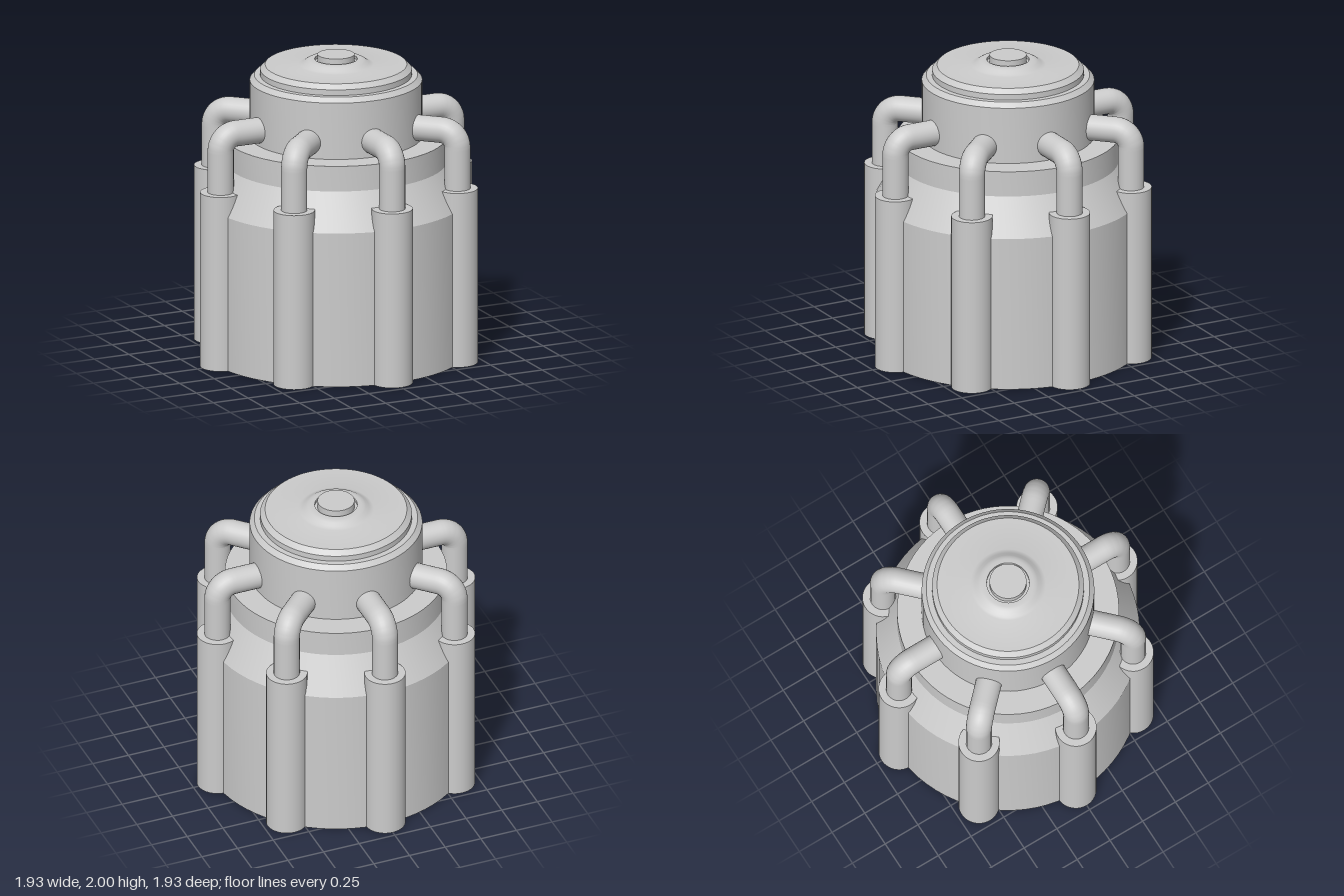
import * as THREE from 'three';
import { toCreasedNormals } from 'three/addons/utils/BufferGeometryUtils.js';

const material = new THREE.MeshStandardMaterial({ color: 0xcccccc });

function addMesh(parent, name, geometry) {
  const mesh = new THREE.Mesh(geometry, material);
  mesh.name = name;
  parent.add(mesh);
  return mesh;
}

// Turned solid with crisp edges between its straight sections
function turned(profile) {
  const points = profile.map(([r, y]) => new THREE.Vector2(r, y));
  return toCreasedNormals(new THREE.LatheGeometry(points, 72), 0.42);
}

export function createModel() {
  const model = new THREE.Group();
  model.name = 'pipedVessel';

  // Wide drum with tapered shoulder
  addMesh(model, 'body', turned([
    [0, 0], [0.855, 0], [0.855, 1.035], [0.72, 1.28], [0.72, 1.45], [0, 1.45],
  ]));

  // Narrow head with bevelled rim
  addMesh(model, 'head', turned([
    [0.56, 1.45], [0.56, 1.83], [0.53, 1.862], [0, 1.862],
  ]));

  // Stepped lid with a soft raised boss and a groove around the button
  addMesh(model, 'lid', turned([
    [0.492, 1.862], [0.492, 1.9], [0.46, 1.932], [0.245, 1.932], [0.23, 1.936],
    [0.215, 1.944], [0.195, 1.958], [0.182, 1.965], [0.165, 1.969],
    [0.138, 1.969], [0.138, 1.95], [0, 1.95],
  ]));
  addMesh(model, 'button', turned([[0.12, 1.95], [0.12, 2], [0, 2]]));

  // Elbow pipe centreline from column up and into the head
  const columnRadius = 0.832, pipeY = 1.556, bend = 0.105;
  const elbow = new THREE.CurvePath();
  const p = (x, y) => new THREE.Vector3(x, y, 0);
  const bendPoints = [];
  for (let i = 0; i <= 12; i++) {
    const a = (i / 12) * Math.PI / 2;
    bendPoints.push(p(columnRadius - bend + bend * Math.cos(a), pipeY - bend + bend * Math.sin(a)));
  }
  elbow.add(new THREE.LineCurve3(p(columnRadius, 1.1), bendPoints[0]));
  for (let i = 0; i < 12; i++) elbow.add(new THREE.LineCurve3(bendPoints[i], bendPoints[i + 1]));
  elbow.add(new THREE.LineCurve3(bendPoints[12], p(0.48, pipeY)));
  const pipeGeometry = new THREE.TubeGeometry(elbow, 80, 0.085, 28, false);
  const columnGeometry = new THREE.CylinderGeometry(0.134, 0.134, 1.175, 40);

  // Eight columns, each with its pipe
  for (let i = 0; i < 8; i++) {
    const unit = new THREE.Group();
    unit.name = `columnUnit${i + 1}`;
    addMesh(unit, 'column', columnGeometry).position.set(columnRadius, 1.175 / 2, 0);
    addMesh(unit, 'elbowPipe', pipeGeometry);
    unit.rotation.y = i * Math.PI / 4;
    model.add(unit);
  }
  return model;
}
